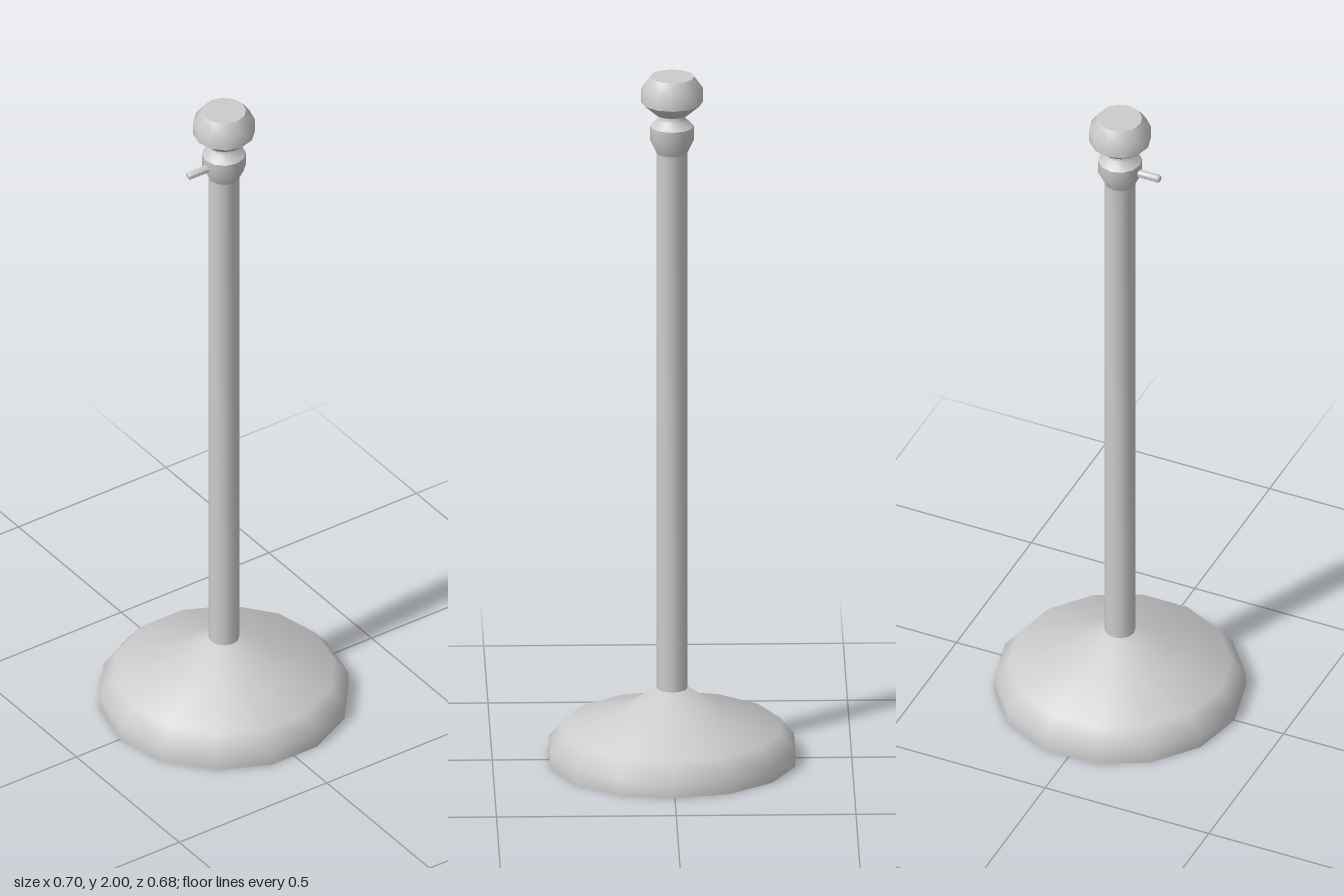
import * as THREE from 'three';
import { toCreasedNormals } from 'three/addons/utils/BufferGeometryUtils.js';

const material = new THREE.MeshStandardMaterial({ color: 0xcccccc });

// Turned part from [radius, height] pairs, listed bottom to top
function turned(name, sides, profile, phase = Math.PI / 2) {
  const points = profile.map(([r, y]) => new THREE.Vector2(r, y));
  const lathe = new THREE.LatheGeometry(points, sides, phase);
  const mesh = new THREE.Mesh(toCreasedNormals(lathe, Math.PI / 4), material);
  mesh.name = name;
  return mesh;
}

export function createModel() {
  const group = new THREE.Group();
  group.name = 'stanchionPost';

  // Wide domed foot
  group.add(turned('base', 14, [
    [0, 0], [0.35, 0], [0.35, 0.045], [0.31, 0.095], [0.138, 0.145], [0.045, 0.208], [0, 0.208],
  ]));

  // Upright
  group.add(turned('pole', 12, [[0.043, 0.19], [0.043, 1.79]]));

  // Collar with tapered underside and narrow neck
  group.add(turned('collar', 12, [
    [0.043, 1.777], [0.061, 1.815], [0.061, 1.855], [0.038, 1.877], [0.036, 1.9],
  ]));

  // Faceted finial on top
  group.add(turned('knob', 12, [
    [0, 1.89], [0.045, 1.89], [0.086, 1.925], [0.086, 1.967], [0.062, 2], [0, 2],
  ]));

  // Rope peg on the right side of the collar
  const peg = turned('ropePeg', 8, [
    [0.012, 0.045], [0.012, 0.117], [0.008, 0.123], [0, 0.123],
  ], Math.PI / 8);
  peg.rotation.z = Math.PI / 2;
  peg.position.y = 1.826;
  group.add(peg);

  return group;
}
